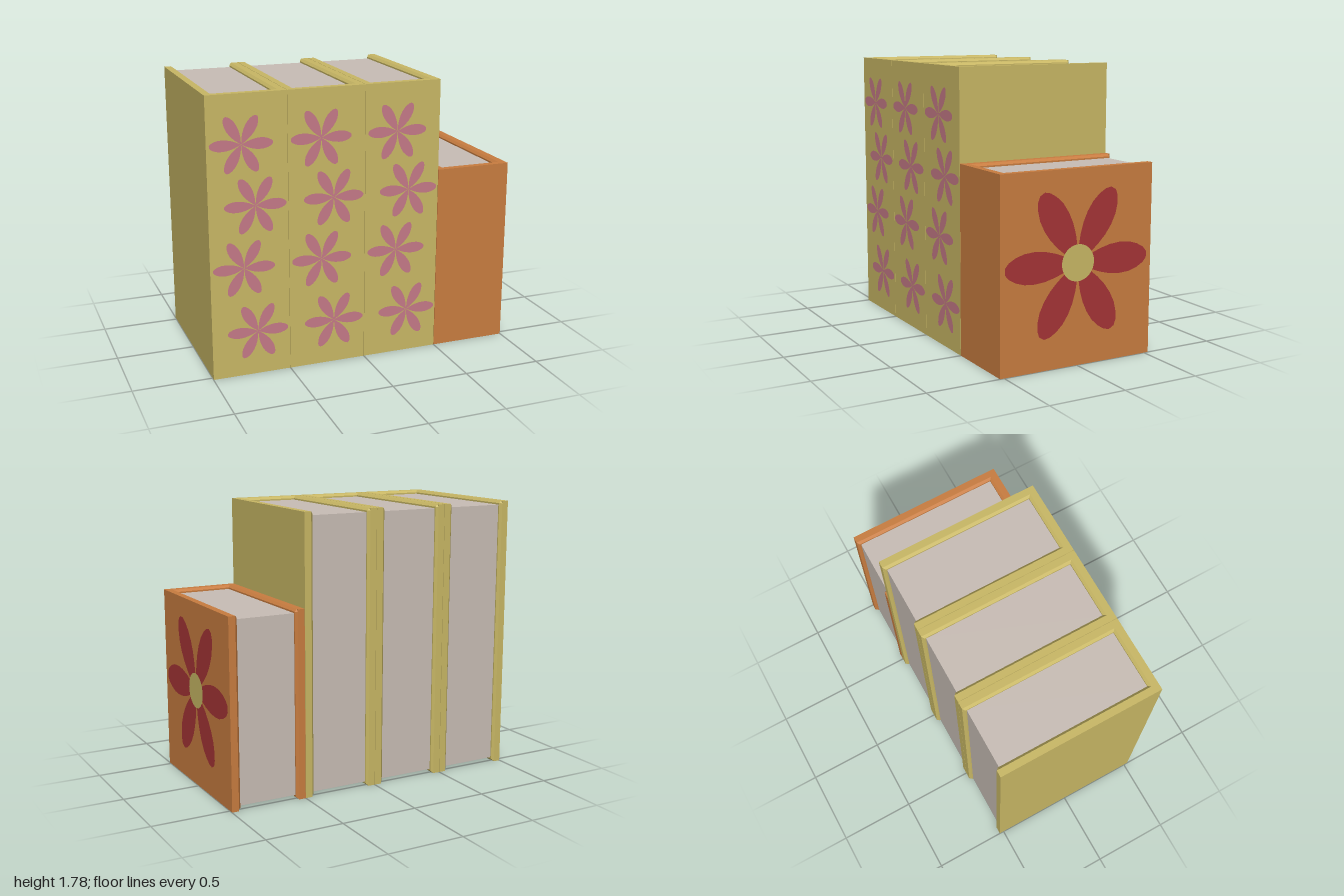
import * as THREE from 'three';

const mat = (name, color) => {
  const m = new THREE.MeshStandardMaterial({ color });
  m.name = name;
  return m;
};

const HALF = 0.2488;   // half thickness of one book
const BACK = -0.53, FRONT = 0.528;
const BOARD = 0.06, BEVEL = 0.015;

// U-shaped outline of a cover seen from above, as [x, z]
function coverOutline(inset) {
  const t = BOARD - inset, i = HALF - t, c = BEVEL - inset;
  return [
    [-HALF, BACK], [-i - c, BACK], [-i, BACK + BEVEL], [-i, FRONT - t], [i, FRONT - t],
    [i, BACK + BEVEL], [i + c, BACK], [HALF, BACK], [HALF, FRONT], [-HALF, FRONT],
  ];
}

// Cover: outlines stacked along y, so the inner edges are bevelled at both ends
function coverGeometry(height) {
  const rings = [[0, BEVEL], [BEVEL, 0], [height - BEVEL, 0], [height, BEVEL]]
    .map(([y, inset]) => coverOutline(inset).map(([x, z]) => [x, y, z]));
  const n = rings[0].length, pos = [];
  const tri = (...corners) => corners.forEach((p) => pos.push(...p));
  for (let r = 0; r < rings.length - 1; r++) {
    for (let k = 0; k < n; k++) {
      const j = (k + 1) % n, lo = rings[r], hi = rings[r + 1];
      tri(lo[k], hi[j], lo[j]);
      tri(lo[k], hi[k], hi[j]);
    }
  }
  // End caps: spine strip and two boards
  const faces = [[9, 3, 4], [9, 4, 8], [0, 1, 2], [0, 2, 3], [0, 3, 9], [7, 5, 6], [7, 4, 5], [7, 8, 4]];
  const [low, high] = [rings[0], rings[3]];
  for (const [a, b, c] of faces) {
    tri(low[a], low[b], low[c]);
    tri(high[a], high[c], high[b]);
  }
  const g = new THREE.BufferGeometry();
  g.setAttribute('position', new THREE.Float32BufferAttribute(pos, 3));
  g.computeVertexNormals();
  return g;
}

// One blunt petal of the given length, lying along +x and turned by an angle
function petalShape(length, width, angle) {
  const half = [[0.2, 0.52], [0.32, 0.75], [0.46, 0.93], [0.6, 1], [0.74, 0.95], [0.86, 0.76], [0.95, 0.5], [1, 0.2]];
  const pts = [[0, 0], ...half.map(([u, v]) => [u, -v]), ...half.slice().reverse()];
  return new THREE.Shape(pts.map(([u, v]) =>
    new THREE.Vector2(u * length, v * width).rotateAround(new THREE.Vector2(), angle)));
}

function flowerGeometry(length, width) {
  const petals = [];
  for (let k = 0; k < 6; k++) petals.push(petalShape(length, width, k * Math.PI / 3));
  return new THREE.ShapeGeometry(petals);
}

export function createModel() {
  const yellow = mat('yellow cover', 0xc9b865);
  const orange = mat('orange cover', 0xc97d40);
  const paper = mat('paper', 0xc9beb6);
  const pink = mat('pink petals', 0xc67a88);
  const red = mat('red petals', 0xa63436);

  const model = new THREE.Group();
  model.name = 'bookRow';
  const add = (parent, name, geometry, material, x = 0, y = 0, z = 0) => {
    const mesh = new THREE.Mesh(geometry, material);
    mesh.name = name;
    mesh.position.set(x, y, z);
    parent.add(mesh);
    return mesh;
  };

  // Cover and page block
  function addBook(name, x, height, material) {
    const book = new THREE.Group();
    book.name = name;
    book.position.x = x;
    model.add(book);
    add(book, 'cover', coverGeometry(height), material);
    const back = -0.507, front = FRONT - BOARD + 0.005, gap = 0.025;
    add(book, 'pages',
      new THREE.BoxGeometry(2 * (HALF - BOARD) + 0.01, height - 2 * gap, front - back),
      paper, 0, height / 2, (front + back) / 2);
    return book;
  }

  // Three tall books with staggered flowers on the spines
  const smallFlower = flowerGeometry(0.194, 0.035);
  for (let b = 0; b < 3; b++) {
    const book = addBook('tallBook' + (b + 1), -0.75 + b * 0.5, 1.78, yellow);
    [1.475, 1.095, 0.705, 0.285].forEach((y, k) => {
      add(book, 'spineFlower', smallFlower, pink, k % 2 ? 0.043 : -0.037, y, FRONT + 0.002);
    });
  }

  // Short book with one large flower on its outer board
  const shortBook = addBook('shortBook', 0.75, 1.2, orange);
  const petals = add(shortBook, 'coverFlower', flowerGeometry(0.497, 0.097), red, HALF + 0.001, 0.633, 0);
  const heart = add(shortBook, 'flowerCentre', new THREE.CircleGeometry(0.113, 32), yellow, HALF + 0.003, 0.633, 0);
  petals.rotation.y = heart.rotation.y = Math.PI / 2;

  return model;
}
